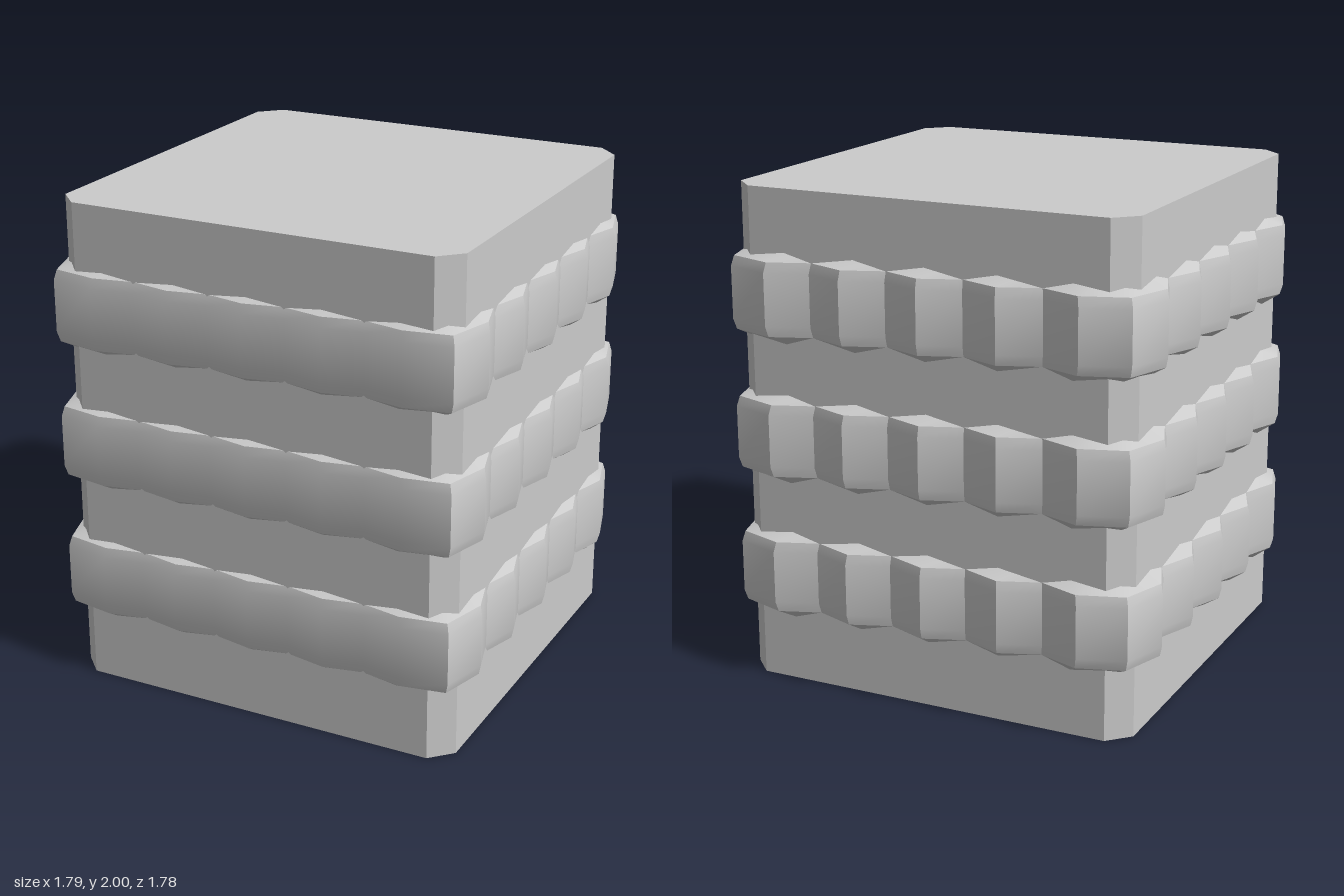
import * as THREE from 'three';
import { toCreasedNormals } from 'three/addons/utils/BufferGeometryUtils.js';

const material = new THREE.MeshStandardMaterial({ color: 0xcccccc });

// Square block with chamfered vertical edges
function createBlock() {
  const x0 = -0.825, x1 = 0.842, z0 = -0.819, z1 = 0.848, c = 0.085;
  const shape = new THREE.Shape([
    [x0 + c, -z1], [x1 - c, -z1], [x1, -z1 + c], [x1, -z0 - c],
    [x1 - c, -z0], [x0 + c, -z0], [x0, -z0 - c], [x0, -z1 + c],
  ].map(([x, y]) => new THREE.Vector2(x, y)));
  const geometry = new THREE.ExtrudeGeometry(shape, { depth: 2, bevelEnabled: false });
  geometry.rotateX(-Math.PI / 2);
  const mesh = new THREE.Mesh(geometry, material);
  mesh.name = 'block';
  return mesh;
}

// Zigzag plan of a band: every side runs from a corner over five peaks
function bandOutline() {
  const steps = [-0.65, -0.485, -0.322, -0.16, 0.003, 0.165, 0.33, 0.492, 0.657];
  const back = [...steps].reverse();
  const level = (i, peak, valley) => (i % 2 ? valley : peak);
  return [
    [-0.835, 0.856], ...steps.map((x, i) => [x, level(i, 0.888, 0.856)]),
    [0.842, 0.856], ...back.map((z, i) => [level(i, 0.895, 0.846), z + 0.008]),
    [0.842, -0.827], ...back.map((x, i) => [x, level(i, -0.888, -0.828)]),
    [-0.834, -0.829], ...steps.map((z, i) => [level(i, -0.897, -0.833), z + 0.008]),
  ];
}

// Band section from bottom to top: [inset, height]
const section = [[0.1, -0.205], [0.01, -0.146], [0, -0.105], [0, 0.105], [0.01, 0.146], [0.1, 0.192]];

function createBandGeometry() {
  const outline = bandOutline(), n = outline.length;
  const positions = [], index = [];
  for (const [inset, y] of section) {
    const s = 1 - inset / 0.87;
    for (const [x, z] of outline) positions.push(x * s, y, z * s);
  }
  for (let r = 0; r < section.length - 1; r++) {
    for (let i = 0; i < n; i++) {
      const a = r * n + i, b = r * n + (i + 1) % n;
      index.push(a, b, b + n, a, b + n, a + n);
    }
  }
  const geometry = new THREE.BufferGeometry();
  geometry.setAttribute('position', new THREE.Float32BufferAttribute(positions, 3));
  geometry.setIndex(index);
  return toCreasedNormals(geometry, Math.PI / 6);
}

export function createModel() {
  const model = new THREE.Group();
  model.name = 'bandedBlock';
  model.add(createBlock());

  // Three identical bands around the block
  const bandGeometry = createBandGeometry();
  ['lowerBand', 'middleBand', 'upperBand'].forEach((name, i) => {
    const band = new THREE.Mesh(bandGeometry, material);
    band.name = name;
    band.position.y = 0.449 + i * 0.564;
    model.add(band);
  });
  return model;
}
